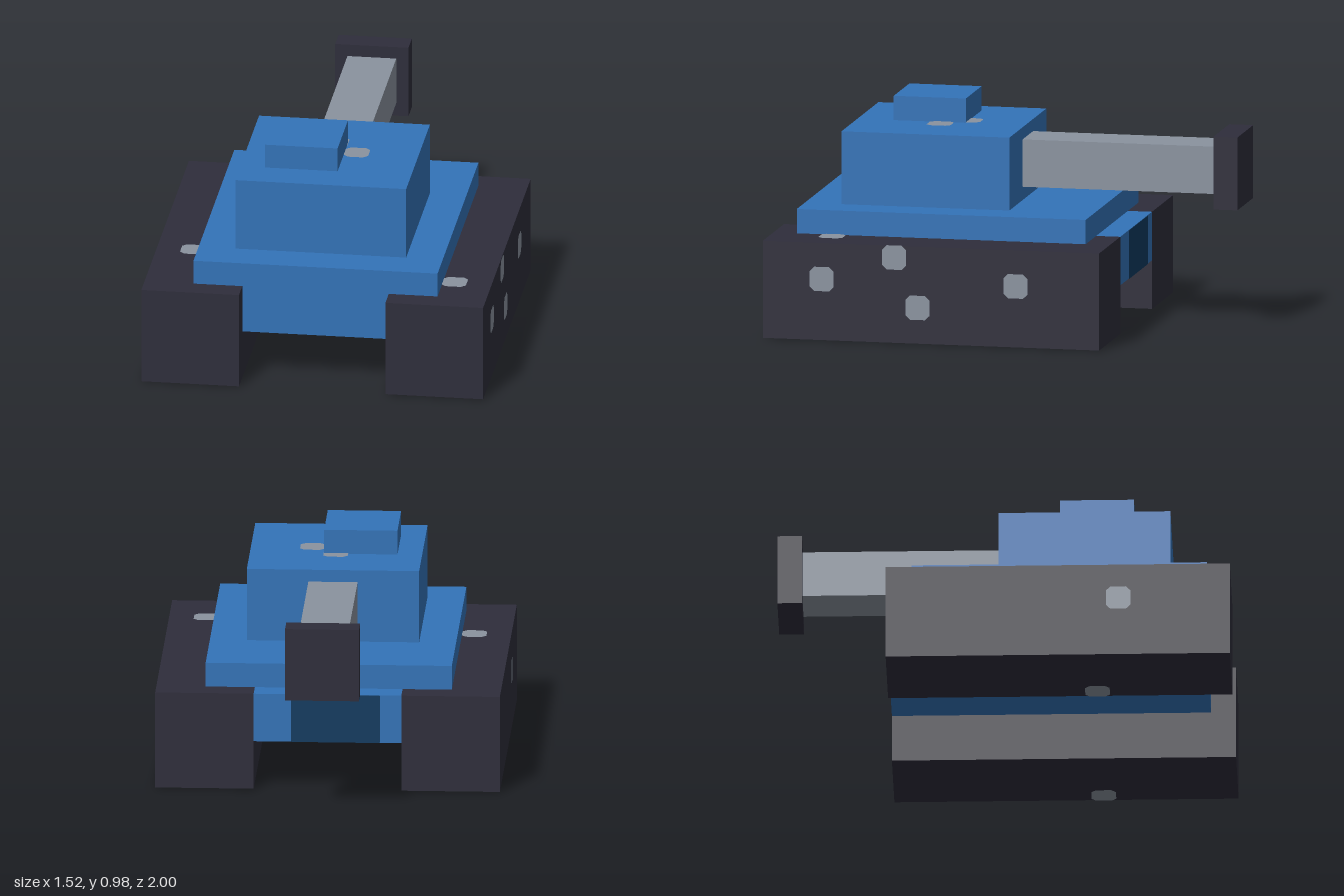
import * as THREE from 'three';

const U = 0.1081; // modelling unit: every block is a whole number of these

export function createModel() {
  const model = new THREE.Group();
  model.name = 'tank';

  const mat = (name, color) => {
    const m = new THREE.MeshStandardMaterial({ color });
    m.name = name;
    return m;
  };
  const blue = mat('armour blue', 0x3373b8);
  const navy = mat('dark blue', 0x0f3b60);
  const dark = mat('track charcoal', 0x2e2d3b);
  const grey = mat('metal grey', 0x8a939f);

  // Box given by its minimum and maximum corners
  const block = (name, material, [x0, y0, z0], [x1, y1, z1]) => {
    const mesh = new THREE.Mesh(new THREE.BoxGeometry(x1 - x0, y1 - y0, z1 - z0), material);
    mesh.position.set((x0 + x1) / 2, (y0 + y1) / 2, (z0 + z1) / 2);
    mesh.name = name;
    model.add(mesh);
  };

  // Flat patch with clipped corners, lying just above a face
  const turns = {
    '+x': [0, Math.PI / 2, 0], '-x': [0, -Math.PI / 2, 0],
    '+y': [-Math.PI / 2, 0, 0], '-y': [Math.PI / 2, 0, 0],
    '-z': [0, Math.PI, 0],
  };
  const patch = (name, material, facing, [x, y, z], w = U, h = U, cut = 0.02) => {
    const a = w / 2, b = h / 2, c = cut;
    const shape = new THREE.Shape([
      [-a + c, -b], [a - c, -b], [a, -b + c], [a, b - c],
      [a - c, b], [-a + c, b], [-a, b - c], [-a, -b + c],
    ].map(([px, py]) => new THREE.Vector2(px, py)));
    const mesh = new THREE.Mesh(new THREE.ShapeGeometry(shape), material);
    mesh.rotation.set(...turns[facing]);
    mesh.position.set(x, y, z);
    mesh.translateZ(0.003);
    mesh.name = name;
    model.add(mesh);
  };

  // Tracks, each with the same worn patches on its sides and underside
  const back = -0.51, inner = 3 * U, outer = 7 * U, deck = 4 * U;
  for (const [side, x0] of [['left', inner], ['right', -outer]]) {
    const x1 = x0 + 4 * U;
    block(side + 'Track', dark, [x0, 0, back], [x1, deck, 1]);
    for (const [z, y] of [[0.735, 0.272], [0.41, 0.38], [0.305, 0.16], [-0.135, 0.272]]) {
      patch(side + 'TrackPatch', grey, '+x', [x1, y, z]);
    }
    patch(side + 'TrackPatch', grey, '-x', [x0, 0.272, 0.51]);
    patch(side + 'TrackPatch', grey, '-y', [x1 - U / 2, 0, 0.41]);
  }
  patch('leftTrackTopPatch', grey, '+y', [0.593, deck, 0.725]);
  patch('rightTrackTopPatch', grey, '+y', [-0.595, deck, 0.51]);

  // Hull between the tracks and the wider deck on top
  block('hull', blue, [-inner, 2 * U, back], [inner, deck, 0.89]);
  block('deck', blue, [-5 * U, deck, -0.402], [5 * U, 5 * U, 0.895]);
  patch('rearPanel', navy, '-z', [-0.035, 3 * U, back], 0.39, 2 * U, 0.002);
  patch('bellyPatch', navy, '-y', [-0.14, 2 * U, 0.8]);
  patch('bellyPatch', navy, '-y', [-0.15, 2 * U, -0.45]);

  // Turret and hatch
  block('turret', blue, [-3.5 * U, 5 * U, -0.024], [3.5 * U, 8 * U, 0.73]);
  block('hatch', blue, [-0.27, 8 * U, 0.243], [0.052, 9 * U, 0.567]);
  patch('turretPatch', grey, '+y', [0, 8 * U, 0.237]);
  patch('turretPatch', grey, '+y', [0.107, 8 * U, 0.346]);

  // Gun
  block('barrel', grey, [-U, 5.55 * U, -0.9], [U, 7.5 * U, -0.02]);
  block('muzzle', dark, [-1.5 * U, 5 * U, -1], [1.5 * U, 8 * U, -0.892]);

  return model;
}
